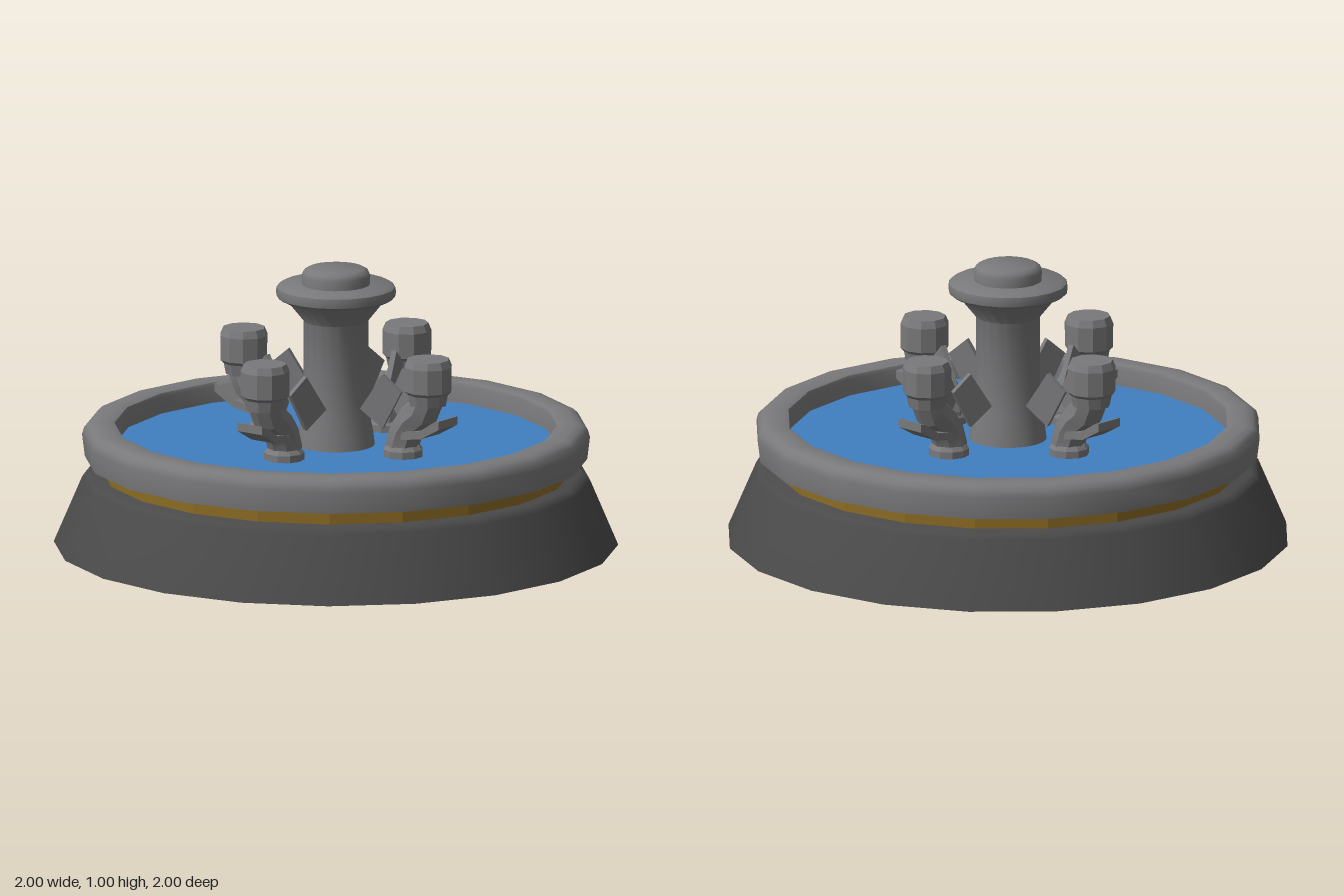
import * as THREE from 'three';
import { toCreasedNormals } from 'three/addons/utils/BufferGeometryUtils.js';

const mat = (name, color) => {
  const m = new THREE.MeshStandardMaterial({ color });
  m.name = name;
  return m;
};

export function createModel() {
  const stone = mat('grey stone', 0x79797b);
  const dark = mat('dark stone', 0x4a4a4a);
  const gold = mat('gold', 0x8b6b24);
  const water = mat('water blue', 0x4080c0);
  const root = new THREE.Group();
  root.name = 'fountain';

  const add = (parent, name, geo, material) => {
    const mesh = new THREE.Mesh(geo, material);
    mesh.name = name;
    parent.add(mesh);
    return mesh;
  };
  // Turned part from [radius, height] pairs; creased keeps its edges sharp
  const turned = (pts, sides = 20, crease = 0.7) => toCreasedNormals(
    new THREE.LatheGeometry(pts.map(p => new THREE.Vector2(...p)), sides), crease);
  // Flat plate from an outline in x and y, centred on z
  const plate = (pts, depth) => {
    const shape = new THREE.Shape(pts.map(p => new THREE.Vector2(...p)));
    return new THREE.ExtrudeGeometry(shape, { depth, bevelEnabled: false }).translate(0, 0, -depth / 2);
  };

  // Stepped basin
  add(root, 'plinth', turned([[0, 0], [1, 0], [0.9, 0.235], [0.89, 0.25], [0.87, 0.258], [0, 0.258]]), dark);
  add(root, 'goldBand', turned([[0.83, 0.25], [0.83, 0.32]], 20, 0.1), gold);
  add(root, 'basinRim', turned([
    [0.78, 0.31], [0.89, 0.31], [0.9, 0.39], [0.893, 0.415], [0.877, 0.43], [0.85, 0.437],
    [0.8, 0.437], [0.785, 0.432], [0.78, 0.42], [0.78, 0.31],
  ]), stone);
  add(root, 'water', new THREE.CircleGeometry(0.79, 20).rotateX(-Math.PI / 2).translate(0, 0.36, 0), water);

  // Central column with its flared top
  add(root, 'column', turned([
    [0.14, 0.34], [0.133, 0.4], [0.12, 0.47], [0.115, 0.55], [0.115, 0.81], [0.18, 0.89],
  ]), stone);
  add(root, 'columnDisc', turned([
    [0, 0.888], [0.195, 0.888], [0.21, 0.898], [0.213, 0.915], [0.21, 0.932], [0.195, 0.942], [0, 0.942],
  ]), stone);
  add(root, 'columnCap', turned([
    [0.12, 0.935], [0.121, 0.975], [0.115, 0.99], [0.1, 0.999], [0, 0.999],
  ]), stone);

  // Four bent spouts around the column
  const path = new THREE.CatmullRomCurve3([
    [0.3, 0.35], [0.3, 0.42], [0.34, 0.49], [0.4, 0.545], [0.41, 0.63],
  ].map(([x, y]) => new THREE.Vector3(x, y, 0)));
  const pipeGeo = toCreasedNormals(new THREE.TubeGeometry(path, 6, 0.062, 8), 0.3);
  const footGeo = turned([[0.072, 0.34], [0.072, 0.385], [0.06, 0.4], [0, 0.4]], 10, 0.3)
    .translate(0.3, 0, 0);
  const headGeo = turned([
    [0, 0.56], [0.066, 0.56], [0.074, 0.6], [0.086, 0.612], [0.087, 0.7], [0.076, 0.726], [0, 0.726],
  ], 10, 0.3).translate(0.412, 0, 0);
  const finGeo = plate([[0, 0], [-0.07, 0.06], [-0.155, -0.07], [-0.07, -0.135]], 0.02);
  const lipGeo = plate([
    [0.33, 0.43], [0.42, 0.445], [0.5, 0.49], [0.5, 0.52], [0.48, 0.515], [0.41, 0.47], [0.33, 0.46],
  ], 0.11);

  for (let i = 0; i < 4; i++) {
    const spout = new THREE.Group();
    spout.name = 'spout' + (i + 1);
    spout.rotation.y = i * Math.PI / 2;
    add(spout, 'spoutPipe', pipeGeo, stone);
    add(spout, 'spoutFoot', footGeo, stone);
    add(spout, 'spoutHead', headGeo, stone);
    add(spout, 'spoutLip', lipGeo, stone);
    // Pair of fins splayed towards the column
    for (const s of [1, -1]) {
      const fin = add(spout, 'spoutFin', finGeo, stone);
      fin.position.set(0.325, 0.6, s * 0.04);
      fin.rotation.y = s * 0.3;
    }
    root.add(spout);
  }
  return root;
}
